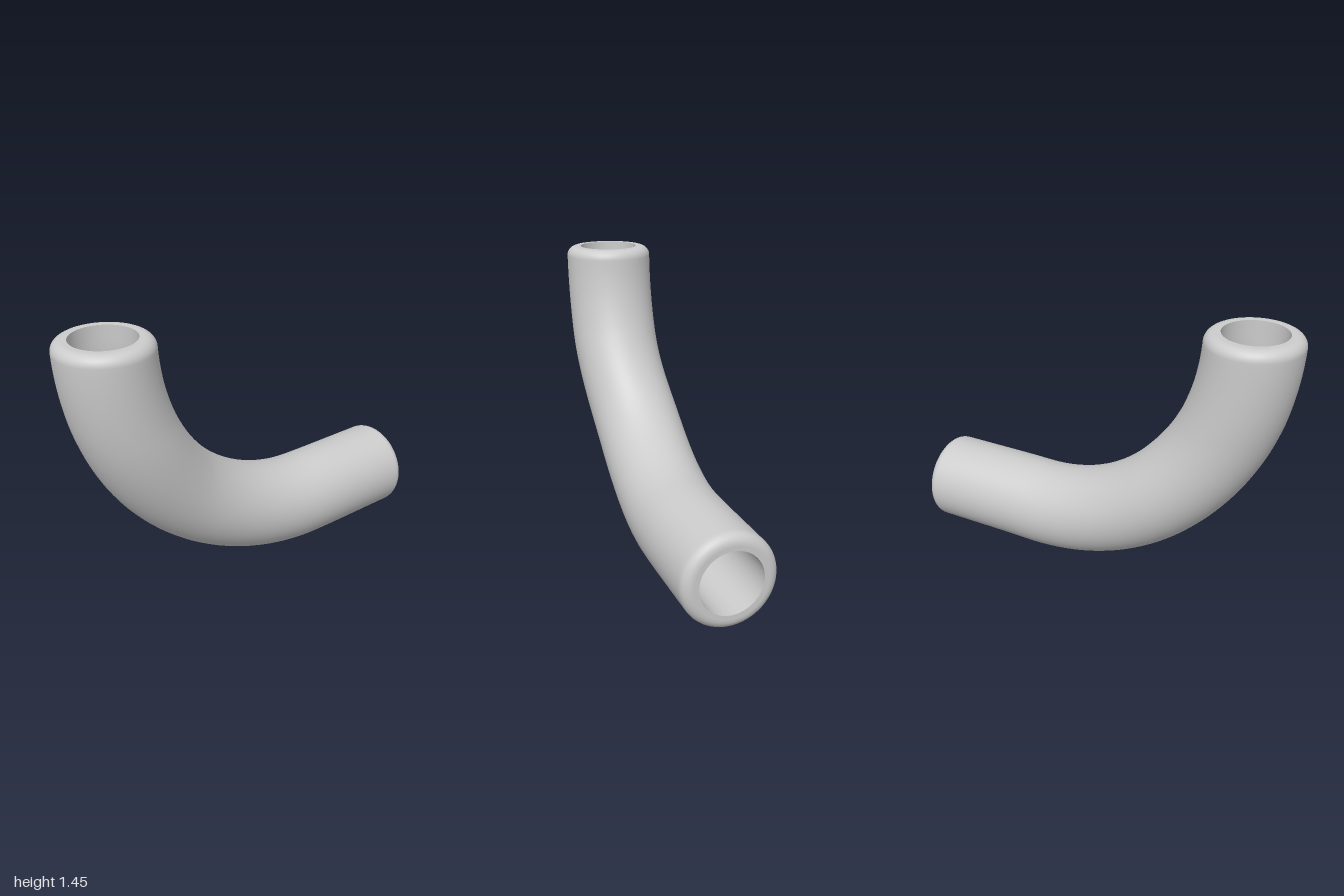
import * as THREE from 'three';

const OUTER = 0.232, BORE = 0.156, FILLET = 0.05;
const STRAIGHT = 0.6, BEND = 1.194, LENGTH = STRAIGHT + BEND * Math.PI / 2;
const SIDES = 64;

// Centre line: a straight leg, then a quarter bend with a slight sideways sway.
function frameAt(s) {
  const sway = THREE.MathUtils.smoothstep(s, 0.42, 1.37) - THREE.MathUtils.smoothstep(s, 1.37, 2.0);
  const z = 0.014 - 0.031 * sway;
  const theta = Math.max(0, (s - STRAIGHT) / BEND);
  const center = s < STRAIGHT
    ? new THREE.Vector3(1 - s, 0.235, z)
    : new THREE.Vector3(0.4 - 1.168 * Math.sin(theta), 1.455 - 1.22 * Math.cos(theta), z);
  // Rings lean over to become level along the upper leg.
  const lean = THREE.MathUtils.clamp((theta - 0.75) / 0.47, 0, 1);
  const phi = THREE.MathUtils.lerp(theta, Math.PI / 2, lean);
  const stretch = 1 / Math.cos(phi - theta);
  const across = new THREE.Vector3(Math.sin(phi) * stretch, Math.cos(phi) * stretch, 0);
  return { center, across };
}

// Skin a list of [distance along the path, radius] rings.
function sweep(name, stations) {
  const positions = [], index = [];
  stations.forEach(([s, r], i) => {
    const { center, across } = frameAt(s);
    for (let j = 0; j < SIDES; j++) {
      const a = j / SIDES * Math.PI * 2;
      const p = center.clone().addScaledVector(across, r * Math.cos(a));
      positions.push(p.x, p.y, p.z + r * Math.sin(a));
      if (i === 0) continue;
      const k = (j + 1) % SIDES, lo = (i - 1) * SIDES, hi = i * SIDES;
      index.push(lo + j, hi + j, lo + k, lo + k, hi + j, hi + k);
    }
  });
  const geometry = new THREE.BufferGeometry();
  geometry.setAttribute('position', new THREE.Float32BufferAttribute(positions, 3));
  geometry.setIndex(index);
  geometry.computeVertexNormals();
  const mesh = new THREE.Mesh(geometry, new THREE.MeshStandardMaterial({ color: 0xcccccc }));
  mesh.name = name;
  return mesh;
}

export function createModel() {
  const group = new THREE.Group();
  group.name = 'bentPipe';

  // Flat rim and rounded lip, measured inward from either end
  const lip = [[0, BORE], [0, OUTER - FILLET - 0.002]];
  for (let i = 0; i <= 8; i++) {
    const a = i / 8 * Math.PI / 2;
    lip.push([FILLET * (1 - Math.sin(a)), OUTER - FILLET + FILLET * Math.cos(a)]);
  }
  lip.splice(2, 9, ...lip.slice(2).reverse());

  // Stations between the two lips
  const body = [];
  for (let i = 1; i < 90; i++) {
    body.push(THREE.MathUtils.lerp(FILLET, LENGTH - FILLET, i / 90));
  }

  const farLip = lip.map(([s, r]) => [LENGTH - s, r]).reverse();
  group.add(sweep('outerWall', [...lip, ...body.map(s => [s, OUTER]), ...farLip]));

  // Hollow bore, skinned in reverse so it faces inward
  const bore = [0, ...body, LENGTH].map(s => [s, BORE]).reverse();
  group.add(sweep('boreWall', bore));
  return group;
}
